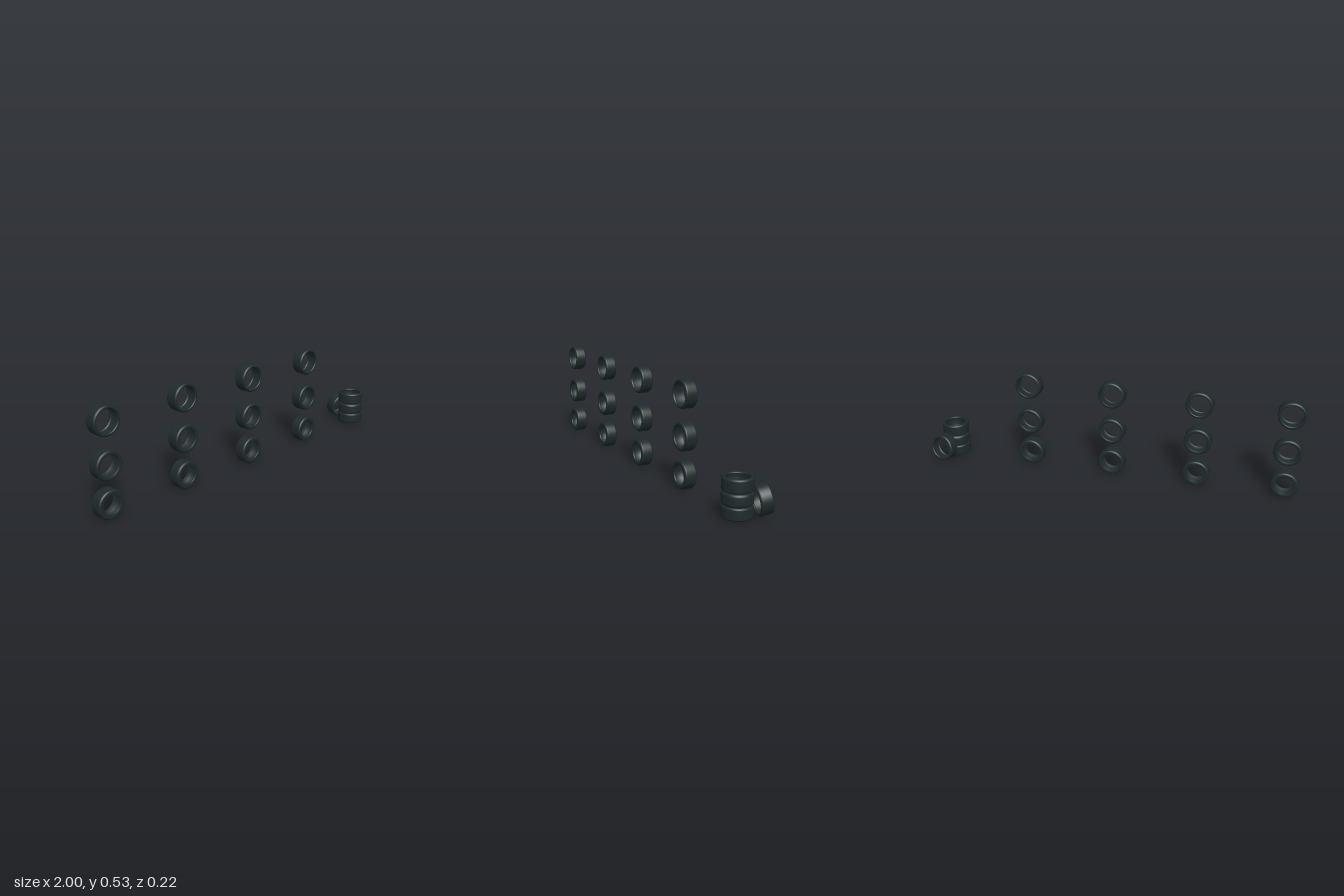
import * as THREE from 'three';

const OUTER = 0.071;

// Hollow tyre, axis along y, centred on the origin
function tyreGeometry(bead, width, round) {
  const h = width / 2;
  const half = []; // lower half of the outside, from bead to tread
  half.push([bead, -h + 0.007], [bead + 0.001, -h + 0.003], [bead + 0.003, -h + 0.001]);
  for (let i = 0; i <= 5; i++) {
    const a = (i / 5) * Math.PI / 2;
    half.push([OUTER - round + round * Math.sin(a) - 0.0006 * (1 - i / 5), -h + round - round * Math.cos(a)]);
  }
  const mirrored = half.map(([r, y]) => [r, -y]).reverse();
  // thin-walled cavity behind the beads
  const liner = Math.max(bead + 0.002, OUTER - 0.009);
  const cavity = [[bead + 0.001, h - 0.009], [liner, h - 0.013], [liner, -h + 0.013], [bead + 0.001, -h + 0.009]];
  const loop = [...half, ...mirrored, ...cavity, half[0]];
  return new THREE.LatheGeometry(loop.map(([r, y]) => new THREE.Vector2(r, y)), 48);
}

export function createModel() {
  const model = new THREE.Group();
  const rubber = new THREE.MeshStandardMaterial({ color: 0x1f2a2b });
  rubber.name = 'darkRubber';

  function addTyre(name, bead, width, round, x, y, z, axis) {
    const tyre = new THREE.Mesh(tyreGeometry(bead, width, round), rubber);
    tyre.name = name;
    tyre.position.set(x, y, z);
    if (axis) tyre.quaternion.setFromUnitVectors(new THREE.Vector3(0, 1, 0), axis.normalize());
    model.add(tyre);
  }

  // Wall display: four columns, three rows, thinner sidewalls higher up
  const rows = [[0.071, 0.046], [0.257, 0.051], [0.462, 0.056]];
  const columns = [[-0.929, 0], [-0.473, 0], [-0.016, 0.002], [0.44, 0.0015]];
  columns.forEach(([x, extra], c) => rows.forEach(([y, bead], r) =>
    addTyre(`displayTyre${c + 1}_${r + 1}`, bead + extra, 0.064, 0.01, x, y, 0.04, new THREE.Vector3(0, 0, 1))));

  // Stack of three lying tyres
  addTyre('stackTyreBottom', 0.048, 0.059, 0.01, 0.896, 0.034, 0.04);
  addTyre('stackTyreMiddle', 0.051, 0.06, 0.014, 0.896, 0.093, 0.04);
  addTyre('stackTyreTop', 0.054, 0.064, 0.01, 0.896, 0.156, 0.04);

  // Tyre leaning against the back of the stack
  addTyre('leaningTyre', 0.056, 0.062, 0.01, 0.923, 0.077, -0.067, new THREE.Vector3(0.22, 0.17, -1));

  return model;
}
